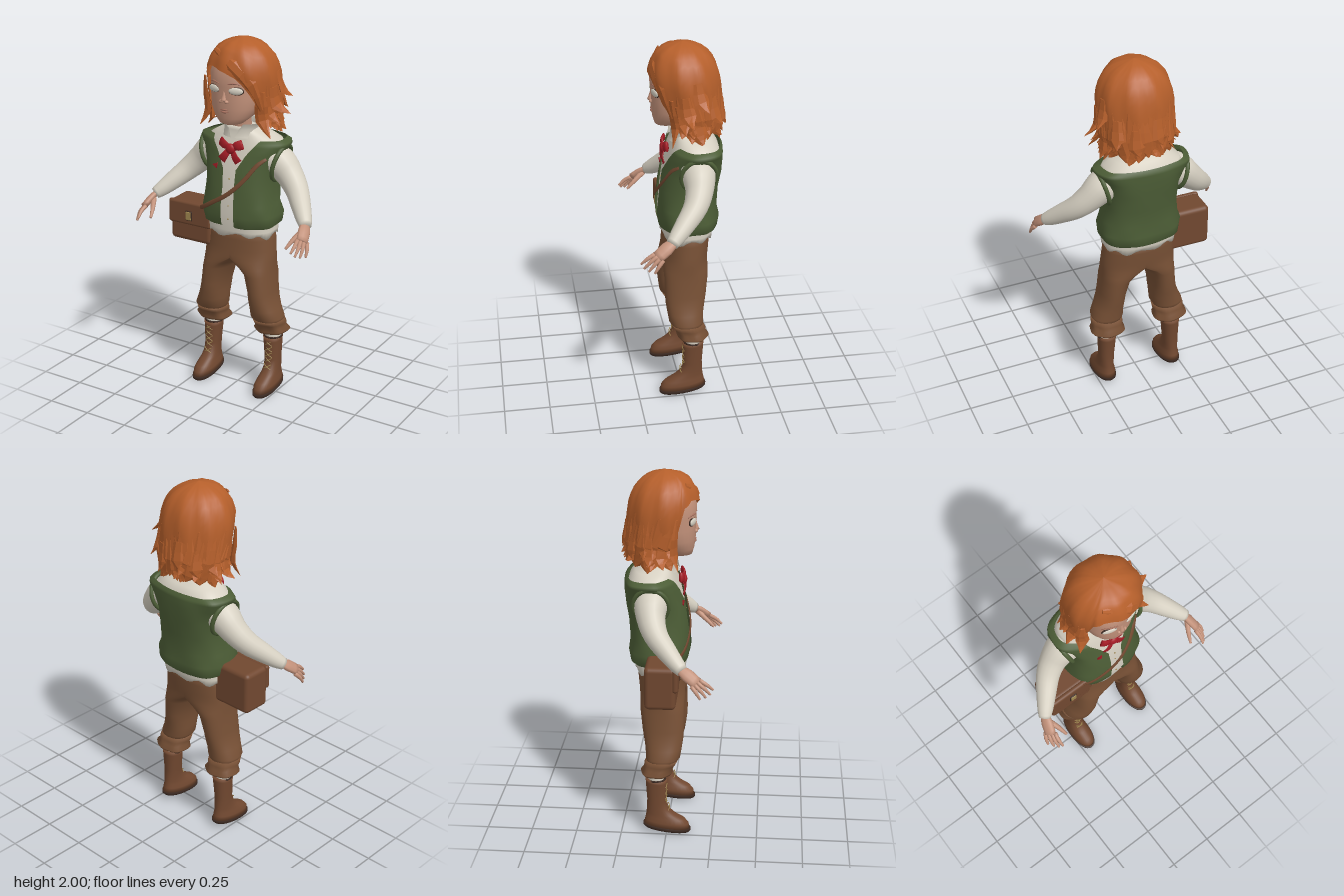
import * as THREE from 'three';
import { RoundedBoxGeometry } from 'three/addons/geometries/RoundedBoxGeometry.js';

const mat = (name, color, side = THREE.FrontSide) =>
  Object.assign(new THREE.MeshStandardMaterial({ color, side }), { name });
const V = (x, y, z) => new THREE.Vector3(x, y, z);
const { lerp, degToRad, smoothstep } = THREE.MathUtils;

// piecewise-linear lookup in rows whose first entry is the key (ascending)
function lookup(table, k) {
  let i = 0;
  while (i < table.length - 2 && k > table[i + 1][0]) i++;
  const [a, b] = [table[i], table[i + 1]];
  const t = THREE.MathUtils.clamp((k - a[0]) / (b[0] - a[0]), 0, 1);
  return a.map((v, n) => lerp(v, b[n], t));
}

// skin a grid of points, rows running upward or along a path
function skin(rows, closed = true) {
  const n = rows[0].length, idx = [];
  for (let i = 0; i < rows.length - 1; i++) {
    for (let j = 0; j < (closed ? n : n - 1); j++) {
      const k = (j + 1) % n, a = i * n + j, b = i * n + k;
      idx.push(a, b, b + n, a, b + n, a + n);
    }
  }
  const g = new THREE.BufferGeometry().setFromPoints(rows.flat());
  g.setIndex(idx);
  g.computeVertexNormals();
  return g;
}

// stacked horizontal sections [y, centreX, halfWidth, zFront, zBack, frontGap]
function body(rings, { seg = 32, e = 0.9, fold = 0, folds = 7, rule } = {}) {
  const open = rings[0].length > 5;
  const rows = rings.map(([y, cx, rx, zf, zb, gap = 0]) => {
    const a0 = open ? Math.asin(Math.min(1, (gap / rx) ** (1 / e))) : 0;
    return Array.from({ length: open ? seg + 1 : seg }, (_, j) => {
      const a = lerp(a0, 2 * Math.PI - a0, j / seg);
      const pw = (v) => Math.sign(v) * Math.abs(v) ** e;
      const f = 1 + fold * Math.sin(folds * a + y * 25);
      const p = V(cx + rx * f * pw(Math.sin(a)), y, (zf + zb) / 2 + f * (zf - zb) / 2 * pw(Math.cos(a)));
      if (rule) rule(p, a, cx, rx);
      return p;
    });
  });
  if (!open) {
    const mid = (row) => {
      const c = row.reduce((s, p) => s.add(p), V(0, 0, 0)).divideScalar(row.length);
      return row.map(() => c.clone());
    };
    rows.unshift(mid(rows[0]));
    rows.push(mid(rows[rows.length - 1]));
  }
  return skin(rows, !open);
}

// tapered tube; ref points along its thin direction, flat is thickness / width
function limb(pts, radii, { seg = 10, ref = V(0, 0, 1), flat = 1, step = 3 } = {}) {
  const curve = new THREE.CatmullRomCurve3(pts), n = (pts.length - 1) * step, rows = [];
  for (let i = 0; i <= n; i++) {
    const t = i / n, p = curve.getPoint(t), d = curve.getTangent(t);
    const u = ref.clone().cross(d).normalize(), v = d.clone().cross(u);
    const q = t * (radii.length - 1), k = Math.min(Math.floor(q), radii.length - 2);
    const r = lerp(radii[k], radii[k + 1], q - k);
    const ring = (s) => Array.from({ length: seg }, (_, j) => {
      const a = (j / seg) * 2 * Math.PI;
      return p.clone().addScaledVector(u, s * r * Math.cos(a)).addScaledVector(v, s * r * flat * Math.sin(a));
    });
    if (i === 0) rows.push(ring(0));
    rows.push(ring(1));
    if (i === n) rows.push(ring(0));
  }
  return skin(rows);
}

function flatten(g) {
  const f = g.toNonIndexed();
  f.computeVertexNormals();
  return f;
}

export function createModel() {
  const M = {
    hair: mat('hair orange', 0xb55f2b, THREE.DoubleSide), skin: mat('skin', 0xc2917a),
    shirt: mat('shirt cream', 0xd6d0c2, THREE.DoubleSide), vest: mat('vest green', 0x4c5d36, THREE.DoubleSide),
    trousers: mat('trouser brown', 0x775035), leather: mat('leather brown', 0x714830),
    dark: mat('dark sole', 0x3a2820), red: mat('bow red', 0xa51c26),
    brass: mat('brass', 0xa08850), lip: mat('lip', 0xa97260),
  };
  const model = new THREE.Group();
  const add = (name, geo, m, x = 0, y = 0, z = 0) => {
    const mesh = new THREE.Mesh(geo, m);
    mesh.name = name;
    mesh.position.set(x, y, z);
    model.add(mesh);
    return mesh;
  };
  const ball = (name, m, x, y, z, sx, sy, sz) => {
    const b = add(name, new THREE.SphereGeometry(1, 18, 12), m, x, y, z);
    b.scale.set(sx, sy, sz);
    return b;
  };
  let seed = 7;
  const rnd = () => (seed = (seed * 16807) % 2147483647) / 2147483647;

  // shirt and open vest
  add('shirtBody', body([[0.925, 0, 0.203, 0.09, -0.182], [0.95, 0, 0.203, 0.093, -0.185], [1.05, 0, 0.205, 0.103, -0.2],
    [1.2, 0, 0.185, 0.09, -0.2], [1.3, 0, 0.19, 0.076, -0.215], [1.4, 0, 0.225, 0.05, -0.222], [1.445, 0, 0.205, 0.035, -0.21],
    [1.475, 0, 0.155, 0.025, -0.18], [1.5, 0, 0.1, 0.022, -0.13], [1.52, 0, 0.075, 0.02, -0.1]],
  { e: 0.8, seg: 48, rule: (p, a) => { if (p.y < 0.93) p.y += 0.011 * Math.sin(9 * a) + 0.006 * Math.sin(4 * a); } }), M.shirt);
  add('vest', body([[0.965, 0, 0.195, 0.085, -0.19, 0.04], [0.985, 0, 0.218, 0.108, -0.212, 0.04], [1.04, 0, 0.226, 0.115, -0.218, 0.04],
    [1.1, 0, 0.208, 0.112, -0.207, 0.038], [1.2, 0, 0.2, 0.102, -0.215, 0.036], [1.3, 0, 0.205, 0.087, -0.23, 0.04],
    [1.38, 0, 0.23, 0.064, -0.235, 0.085], [1.425, 0, 0.262, 0.048, -0.234, 0.12], [1.44, 0, 0.258, 0.038, -0.232, 0.13],
    [1.455, 0, 0.225, 0.02, -0.22, 0.14]],
  { e: 0.8, seg: 64, fold: 0.014 }), M.vest);
  add('collar', body([[1.465, 0, 0.095, 0.055, -0.13, 0.012], [1.51, 0, 0.09, 0.045, -0.125, 0.03],
    [1.545, 0, 0.115, 0.055, -0.13, 0.06]]), M.shirt);
  for (let i = 0; i < 4; i++) ball('shirtButton', M.brass, 0, 1.02 + i * 0.075, 0.103 - i * 0.005, 0.004, 0.004, 0.004);

  for (const s of [1, -1]) {
    const P = (x, y, z) => V(x * s, y, z);
    const side = (rings) => rings.map(([y, cx, ...r]) => [y, cx * s, ...r]);
    // trouser leg, its top flowing into half of the seat
    const half = (p, a, cx, rx) => {
      const out = Math.abs(cx) + rx, u = (p.x - cx) * s / rx;
      p.x = s * lerp(p.x * s, Math.max(out * u, -0.03), smoothstep(p.y, 0.7, 0.83));
    };
    add('trouserLeg', body(side([[0.42, 0.188, 0.08, 0.045, -0.112], [0.45, 0.18, 0.09, 0.072, -0.115],
      [0.5, 0.168, 0.08, 0.08, -0.118], [0.55, 0.157, 0.074, 0.087, -0.127], [0.6, 0.15, 0.071, 0.09, -0.135],
      [0.7, 0.132, 0.08, 0.09, -0.147], [0.74, 0.12, 0.09, 0.09, -0.152], [0.78, 0.112, 0.098, 0.09, -0.157],
      [0.81, 0.107, 0.102, 0.088, -0.161], [0.84, 0.104, 0.102, 0.086, -0.165], [0.9, 0.1, 0.1, 0.082, -0.17],
      [0.97, 0.096, 0.096, 0.08, -0.174]]), { seg: 48, rule: half }), M.trousers);
    // rolled cuff
    add('trouserCuff', body(side([[0.352, 0.19, 0.09, 0.025, -0.135], [0.365, 0.19, 0.1, 0.03, -0.142],
      [0.385, 0.188, 0.083, 0.03, -0.126], [0.41, 0.187, 0.09, 0.048, -0.126], [0.435, 0.184, 0.087, 0.062, -0.115]]),
    { fold: 0.03, folds: 6, rule: (p) => { p.y += 0.04 * (Math.abs(p.x) - 0.19); } }), M.trousers);
    // sock, boot and sole, heel slightly raised
    add('sock', new THREE.CylinderGeometry(0.046, 0.046, 0.09, 20), M.shirt, 0.197 * s, 0.335, -0.058);
    const raise = (p) => { p.y += 0.12 * (0.1 - p.z); };
    add('boot', body(side([[0.02, 0.2, 0.057, 0.126, -0.126], [0.05, 0.2, 0.056, 0.122, -0.12], [0.073, 0.2, 0.049, 0.1, -0.115],
      [0.095, 0.2, 0.044, 0.05, -0.112], [0.125, 0.2, 0.042, 0.012, -0.11], [0.17, 0.199, 0.043, -0.002, -0.108],
      [0.28, 0.196, 0.05, 0.0, -0.116], [0.3, 0.196, 0.052, 0.002, -0.118]]), { rule: raise }), M.leather);
    add('sole', body(side([[0.002, 0.2, 0.054, 0.125, -0.123], [0.01, 0.2, 0.06, 0.132, -0.13],
      [0.024, 0.2, 0.06, 0.132, -0.13]]), { rule: raise }), M.dark);
    add('bootRim', new THREE.TorusGeometry(0.05, 0.005, 6, 24).rotateX(Math.PI / 2), M.dark, 0.196 * s, 0.318, -0.058);
    for (let i = 0; i < 5; i++) for (const d of [1, -1]) {
      const y = 0.13 + i * 0.035, z = i ? -0.003 : 0.012;
      add('lace', limb([V(0.198 * s - 0.022 * d, y, z - 0.003), V(0.198 * s, y + 0.015, z + 0.004),
        V(0.198 * s + 0.022 * d, y + 0.03, z - 0.005)], [0.0025, 0.0025], { seg: 5, step: 2 }), M.brass);
    }
    // sleeve and close-fitting armhole edge
    add('sleeve', limb([P(0.16, 1.355, -0.075), P(0.22, 1.325, -0.08), P(0.28, 1.27, -0.072), P(0.34, 1.21, -0.042),
      P(0.4, 1.15, 0.018), P(0.45, 1.1, 0.073), P(0.476, 1.076, 0.102)],
    [0.09, 0.088, 0.073, 0.063, 0.053, 0.042, 0.032], { seg: 20 }), M.shirt);
    const hole = Array.from({ length: 24 }, (_, i) => {
      const a = (i / 24) * 2 * Math.PI, c = Math.cos(a);
      return P(0.222 + 0.026 * c, 1.328 + 0.098 * c, -0.08 + 0.092 * Math.sin(a));
    });
    add('armholeEdge', new THREE.TubeGeometry(new THREE.CatmullRomCurve3(hole, true), 48, 0.012, 8, true), M.vest);
    // hand with four fingers and thumb
    const back = P(0.011, 0.0085, 0.004).normalize();
    add('palm', limb([P(0.468, 1.085, 0.09), P(0.483, 1.058, 0.13), P(0.498, 1.022, 0.178)], [0.026, 0.036, 0.034],
      { ref: back, flat: 0.55 }), M.skin);
    for (let i = 0; i < 4; i++) {
      const t = i / 3, long = [0, 0.008, 0.006, -0.002][i];
      const a = P(lerp(0.478, 0.514, t), lerp(1.03, 1.01, t), lerp(0.192, 0.152, t));
      const b = P(lerp(0.478, 0.532, t), lerp(0.98, 0.946, t) - long, lerp(0.262, 0.2, t) + long);
      add('finger', limb([a, a.clone().lerp(b, 0.5).addScaledVector(back, 0.006), b], [0.0115, 0.0105, 0.006], { ref: back, seg: 8 }), M.skin);
    }
    add('thumb', limb([P(0.47, 1.055, 0.125), P(0.443, 1.018, 0.175), P(0.425, 0.98, 0.22)], [0.017, 0.013, 0.007], { ref: back, seg: 8 }), M.skin);
    // face details
    const rim = ball('eyelid', M.dark, 0.066 * s, 1.743, 0.123, 0.042, 0.0225, 0.009);
    const eye = ball('eye', M.shirt, 0.066 * s, 1.743, 0.126, 0.039, 0.0195, 0.01);
    rim.rotation.y = eye.rotation.y = 0.32 * s;
    add('eyebrow', limb([P(0.025, 1.777, 0.141), P(0.062, 1.784, 0.132), P(0.1, 1.772, 0.104)], [0.002, 0.005, 0.002], { seg: 6 }), M.lip);
    ball('nostril', M.skin, 0.016 * s, 1.682, 0.138, 0.012, 0.01, 0.012);
    ball('ear', M.skin, 0.135 * s, 1.69, -0.005, 0.017, 0.036, 0.026);
    // bow wings and tails
    add('bowWing', limb([P(0.008, 1.412, 0.07), P(0.04, 1.43, 0.076), P(0.068, 1.44, 0.062)], [0.015, 0.025, 0.027], { flat: 0.35 }), M.red);
    add('bowTail', limb([P(0.008, 1.405, 0.07), P(0.03, 1.372, 0.083), P(0.052, 1.342, 0.08)], [0.014, 0.02, 0.024], { flat: 0.2 }), M.red);
  }
  ball('bowKnot', M.red, 0, 1.41, 0.076, 0.029, 0.029, 0.018);
  const badge = add('badge', new THREE.CylinderGeometry(0.018, 0.018, 0.008, 3), M.red, -0.09, 1.305, 0.08);
  badge.rotation.set(Math.PI / 2, 0.4, 0);

  // neck and head
  add('neck', limb([V(0, 1.44, -0.045), V(0, 1.53, -0.035), V(0, 1.62, -0.02)], [0.062, 0.055, 0.06], { seg: 20 }), M.skin);
  add('head', body([[1.547, 0, 0.03, 0.1, 0.04], [1.557, 0, 0.064, 0.12, -0.01], [1.59, 0, 0.1, 0.13, -0.07],
    [1.64, 0, 0.124, 0.137, -0.1], [1.7, 0, 0.133, 0.139, -0.13], [1.76, 0, 0.135, 0.14, -0.15], [1.82, 0, 0.138, 0.143, -0.15],
    [1.88, 0, 0.125, 0.12, -0.15], [1.93, 0, 0.09, 0.07, -0.1]]), M.skin);
  add('nose', limb([V(0, 1.74, 0.132), V(0, 1.71, 0.136), V(0, 1.684, 0.141)], [0.007, 0.011, 0.016]), M.skin);
  add('upperLip', limb([V(-0.045, 1.633, 0.123), V(0, 1.638, 0.136), V(0.045, 1.633, 0.123)], [0.002, 0.006, 0.002]), M.lip);
  add('lowerLip', limb([V(-0.038, 1.629, 0.126), V(0, 1.625, 0.136), V(0.038, 1.629, 0.126)], [0.002, 0.006, 0.002]), M.lip);

  // hair cap: outline by height [y, halfWidth, zFront, zBack], hem height by angle
  const outline = [[1.45, 0.17, 0.06, -0.215], [1.6, 0.187, 0.09, -0.228], [1.7, 0.2, 0.135, -0.23], [1.8, 0.202, 0.153, -0.222],
    [1.85, 0.192, 0.153, -0.212], [1.9, 0.174, 0.138, -0.193], [1.95, 0.132, 0.11, -0.153], [1.98, 0.082, 0.065, -0.11], [2, 0.001, -0.025, -0.027]];
  const hem = [[-180, 1.56], [-70, 1.58], [-58, 1.6], [-50, 1.83], [-35, 1.86], [-18, 1.855], [0, 1.84], [15, 1.815],
    [22, 1.795], [30, 1.765], [38, 1.72], [46, 1.66], [52, 1.6], [70, 1.57], [180, 1.56]];
  const hairPoint = (deg, y, k = 1) => {
    const [, rx, zf, zb] = lookup(outline, y), a = degToRad(deg), r = k * (1 + 0.022 * Math.sin(9 * a + 8 * y));
    return V(0.015 + rx * r * Math.sin(a), y, (zf + zb) / 2 + r * (zf - zb) / 2 * Math.cos(a));
  };
  const rows = [];
  for (let i = 12; i >= 0; i--) {
    rows.push(Array.from({ length: 72 }, (_, j) => {
      const deg = j * 5 - 180, jag = Math.abs(deg) > 60 ? 0.025 * ((j * 7) % 3 - 1) : 0;
      return hairPoint(deg, 2 - (2 - lookup(hem, deg)[1] - jag) * (1 - Math.cos((i / 12) * Math.PI / 2)));
    }));
  }
  add('hairCap', skin(rows), M.hair);
  const lock = (pts, radii, ref) => add('hairLock', flatten(limb(pts, radii, { seg: 6, flat: 0.35, ref, step: 2 })), M.hair);
  // ragged ends flicking outward around the sides and back
  for (let i = 0; i < 32; i++) {
    const deg = 62 + (i / 31) * 232, top = 1.7 + 0.1 * rnd(), tip = 1.49 + 0.09 * rnd(), turn = (rnd() - 0.5) * 36;
    const a = degToRad(deg);
    lock([hairPoint(deg, top, 0.96), hairPoint(deg + turn * 0.2, 1.63, 0.99), hairPoint(deg + turn * 0.6, tip + 0.035, 0.99),
      hairPoint(deg + turn, tip, 1.02 + 0.24 * rnd())], [0.02, 0.042, 0.036, 0.002], V(Math.sin(a), 0, Math.cos(a)));
  }
  // wider flicks [angle, tip height, spread]
  for (const [deg, y, k] of [[80, 1.62, 1.46], [68, 1.57, 1.36], [105, 1.69, 1.32], [95, 1.51, 1.25], [-78, 1.53, 1.4], [-100, 1.54, 1.28],
    [-62, 1.51, 1.25], [130, 1.6, 1.25], [160, 1.56, 1.18], [195, 1.6, 1.15], [225, 1.56, 1.15]]) {
    const a = degToRad(deg);
    lock([hairPoint(deg, y + 0.14, 0.97), hairPoint(deg, y + 0.04, 1.06), hairPoint(deg + 4, y, k)], [0.03, 0.042, 0.002], V(Math.sin(a), 0.3, Math.cos(a)));
  }
  // swept fringe and locks framing the face
  lock([V(-0.08, 1.94, 0.09), V(0.05, 1.88, 0.136), V(0.14, 1.78, 0.105), V(0.178, 1.64, 0.055)], [0.012, 0.035, 0.035, 0.01], V(0.3, 0.3, 1));
  lock([V(-0.172, 1.78, 0.05), V(-0.175, 1.68, 0.04), V(-0.165, 1.59, 0.035), V(-0.2, 1.51, 0.06)], [0.012, 0.028, 0.036, 0.002], V(-0.6, 0, 1));
  lock([V(0.178, 1.74, 0.06), V(0.172, 1.66, 0.05), V(0.172, 1.58, 0.035), V(0.235, 1.5, 0.06)], [0.02, 0.034, 0.036, 0.002], V(0.6, 0, 1));

  // satchel with flap, clasp and shoulder strap
  add('satchel', new RoundedBoxGeometry(0.265, 0.235, 0.165, 3, 0.025), M.leather, -0.272, 0.935, -0.02);
  add('satchelFlap', new RoundedBoxGeometry(0.272, 0.135, 0.03, 3, 0.014), M.leather, -0.272, 0.986, 0.06);
  add('claspPlate', new RoundedBoxGeometry(0.042, 0.056, 0.01, 2, 0.004), M.dark, -0.272, 0.975, 0.076);
  add('clasp', new RoundedBoxGeometry(0.034, 0.048, 0.009, 2, 0.004), M.brass, -0.272, 0.975, 0.08);
  add('strap', limb([V(0.185, 1.37, 0.02), V(0.15, 1.335, 0.052), V(0.09, 1.25, 0.09), V(0.01, 1.17, 0.112),
    V(-0.08, 1.11, 0.11), V(-0.16, 1.06, 0.09), V(-0.23, 1.02, 0.05)], [0.012, 0.012], { flat: 0.35, ref: V(0, 0.2, 1) }), M.leather);
  return model;
}
